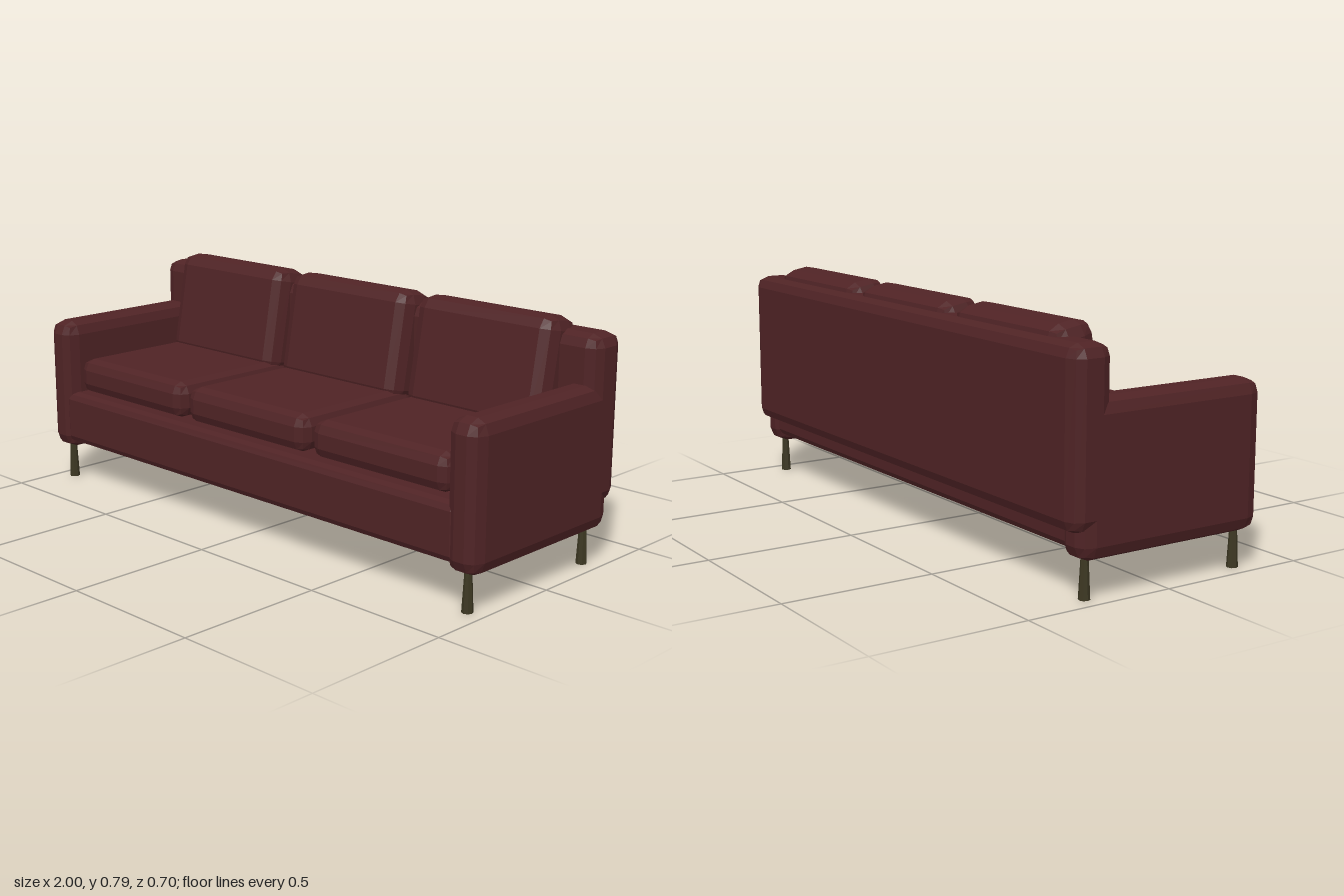
import * as THREE from 'three';

const upholstery = new THREE.MeshStandardMaterial({ color: 0x4f2325, flatShading: true });
upholstery.name = 'dark red upholstery';
const legWood = new THREE.MeshStandardMaterial({ color: 0x3c3722, flatShading: true });
legWood.name = 'dark olive wood';

// Box whose edges carry a two-step bevel; bevel is [x, y, z]
function bevelBox(name, size, bevel, position) {
  const geometry = new THREE.BoxGeometry(1, 1, 1, 3, 3, 3);
  const points = geometry.attributes.position;
  for (let i = 0; i < points.count; i++) {
    const p = [points.getX(i), points.getY(i), points.getZ(i)];
    const outer = p.map((v) => Math.abs(v) > 0.4);
    const count = outer.filter(Boolean).length;
    const pull = [0, 0, 0.3, 0.42][count]; // face, edge and corner points
    const q = p.map((v, k) =>
      Math.sign(v) * (size[k] / 2 - bevel[k] * (outer[k] ? pull : 1)));
    points.setXYZ(i, ...q);
  }
  geometry.computeVertexNormals();
  const mesh = new THREE.Mesh(geometry, upholstery);
  mesh.name = name;
  mesh.position.set(...position);
  return mesh;
}

export function createModel() {
  const sofa = new THREE.Group();
  sofa.name = 'sofa';

  // Frame
  sofa.add(bevelBox('base', [1.86, 0.187, 0.65], [0.03, 0.025, 0.03], [0, 0.2385, 0.018]));
  sofa.add(bevelBox('backrest', [2, 0.54, 0.14], [0.045, 0.04, 0.04], [0, 0.475, -0.28]));

  for (const side of [-1, 1]) {
    const label = side > 0 ? 'left' : 'right';
    sofa.add(bevelBox(label + 'Arm', [0.12, 0.47, 0.666], [0.04, 0.046, 0.048],
      [side * 0.94, 0.355, 0.017]));

    // Legs, slightly wider at the foot
    for (const [end, z] of [['Front', 0.301], ['Back', -0.264]]) {
      const leg = new THREE.Mesh(new THREE.CylinderGeometry(0.011, 0.018, 0.14, 8), legWood);
      leg.name = label + end + 'Leg';
      leg.position.set(side * 0.94, 0.07, z);
      sofa.add(leg);
    }
  }

  // Three seat cushions with leaning back cushions
  for (const i of [-1, 0, 1]) {
    const x = i * 0.587;
    const label = ['right', 'middle', 'left'][i + 1];
    sofa.add(bevelBox(label + 'SeatCushion', [0.56, 0.125, 0.535], [0.04, 0.038, 0.04],
      [x, 0.3975, 0.049]));
    const back = bevelBox(label + 'BackCushion', [0.55, 0.38, 0.152], [0.045, 0.045, 0.05],
      [x, 0.5955, -0.2137]);
    back.rotation.x = -0.18;
    sofa.add(back);
  }
  return sofa;
}
